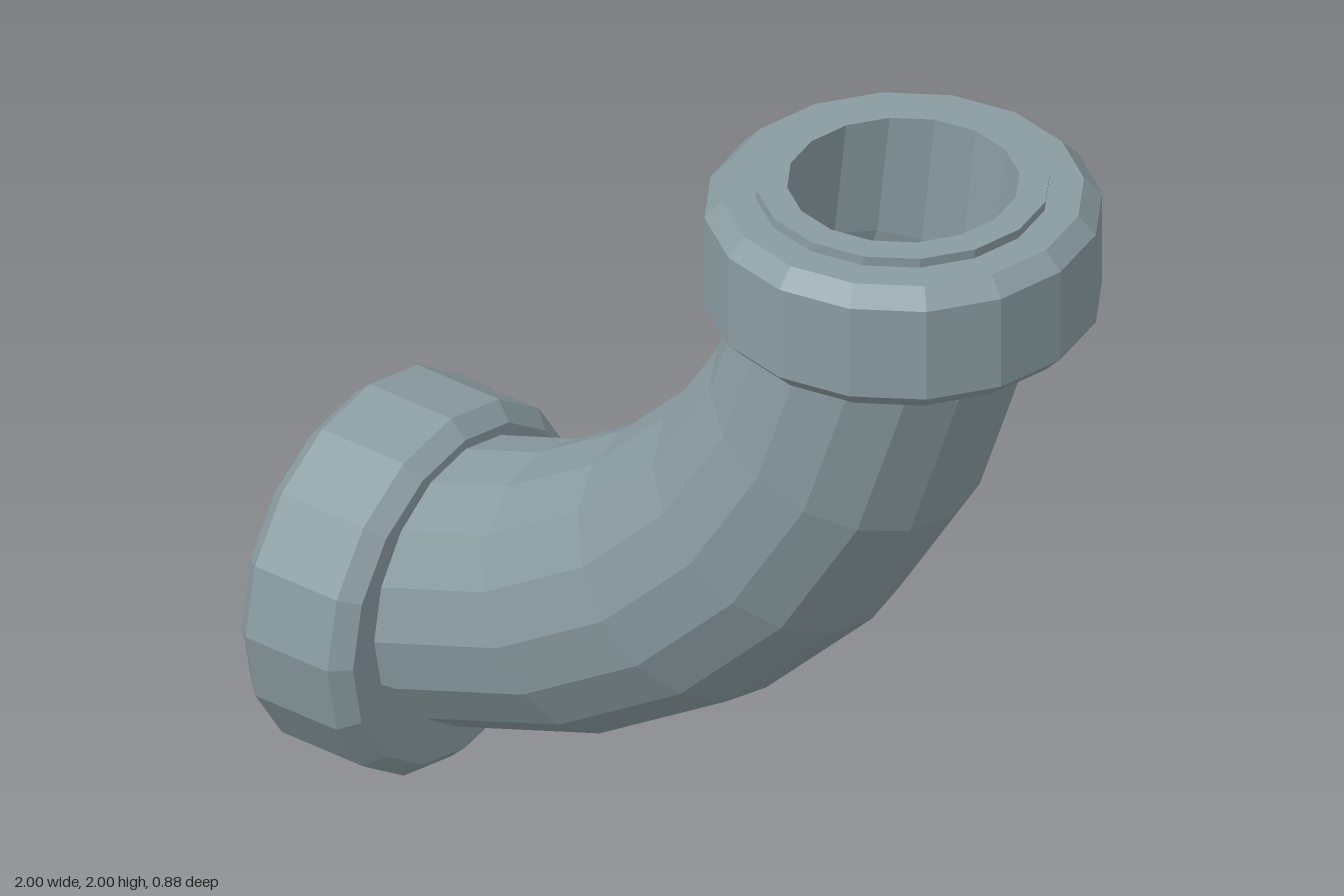
import * as THREE from 'three';

const SIDES = 16, BEND_STEPS = 7;
const BEND_R = 1.56, PIPE_R = 0.325, BORE_R = 0.257;

export function createModel() {
  const model = new THREE.Group();
  model.name = 'pipeElbow';
  const steel = new THREE.MeshStandardMaterial({ color: 0x8a9ca1, flatShading: true });
  steel.name = 'blueGreySteel';

  const add = (parent, name, geometry) => {
    const mesh = new THREE.Mesh(geometry, steel);
    mesh.name = name;
    parent.add(mesh);
    return mesh;
  };

  // Quarter bend around (-1, 2), from the left mouth up to the top mouth
  const bend = (radius) => new THREE.TorusGeometry(BEND_R, radius, SIDES, BEND_STEPS, Math.PI / 2)
    .rotateZ(-Math.PI / 2).translate(-1, 2, 0);
  add(model, 'pipeOuterWall', bend(PIPE_R));

  // Bore: same bend, faces turned inward
  const bore = bend(BORE_R);
  bore.setIndex(Array.from(bore.index.array).reverse());
  bore.computeVertexNormals();
  add(model, 'pipeBore', bore);

  // Chamfered collar profile, measured down from the mouth
  const profile = [
    [0.29, -0.335], [0.40, -0.335], [0.44, -0.294],
    [0.44, -0.066], [0.40, -0.024], [0.29, -0.024],
  ].map(([r, y]) => new THREE.Vector2(r, y));

  // A mouth has its opening at the group origin, facing local +y
  const addMouth = (name, x, y, turn) => {
    const mouth = new THREE.Group();
    mouth.name = name;
    add(mouth, 'collar', new THREE.LatheGeometry(profile, SIDES));
    add(mouth, 'rim', new THREE.RingGeometry(BORE_R, PIPE_R, SIDES).rotateX(-Math.PI / 2));
    mouth.position.set(x, y, 0);
    mouth.rotation.z = turn;
    model.add(mouth);
  };
  addMouth('topMouth', BEND_R - 1, 2, 0);
  addMouth('sideMouth', -1, 2 - BEND_R, Math.PI / 2);

  return model;
}
